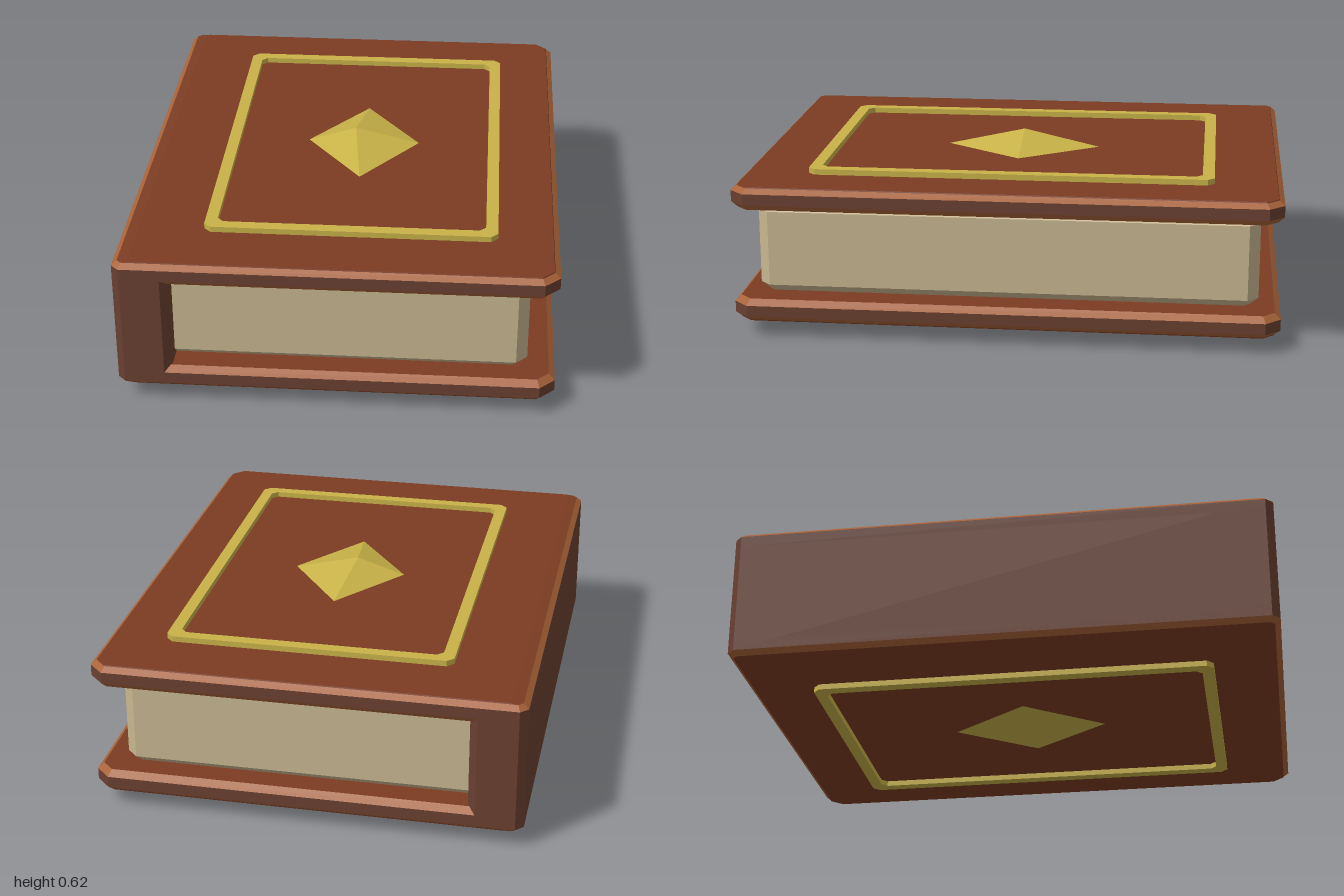
import * as THREE from 'three';

const material = (name, color) => {
  const m = new THREE.MeshStandardMaterial({ color });
  m.name = name;
  return m;
};

const MID = 0.3125; // half height, the plane the book is mirrored about
const flipY = (y) => 2 * MID - y;

// Chamfered rectangle, counter-clockwise from above; inset i, extra inset l on the spine side
function outline({ x0, x1, z, cL, cR }, y, i, l = 0) {
  const a = x0 + i + l, b = x1 - i, d = z - i;
  const p = Math.max(cL - 0.586 * i, 0.002), q = Math.max(cR - 0.586 * i, 0.002);
  return [
    [b, d - q], [b, q - d], [b - q, -d], [a + p, -d],
    [a, p - d], [a, d - p], [a + p, d], [b - q, d],
  ].map(([x, zz]) => [x, y, zz]);
}

// Stack of outlines [y, inset, spineInset] from bottom to top; one material index per band, then bottom and top caps
function slab(plan, levels, bandMats, capMats) {
  const rings = levels.map((v) => outline(plan, ...v));
  const pos = [];
  const geo = new THREE.BufferGeometry();
  const group = (mat, build) => {
    const start = pos.length / 3;
    build();
    geo.addGroup(start, pos.length / 3 - start, mat);
  };
  const tri = (...pts) => pts.forEach((p) => pos.push(...p));
  for (let r = 0; r + 1 < rings.length; r++) {
    const a = rings[r], b = rings[r + 1];
    group(bandMats[r], () => a.forEach((p, i) => {
      const j = (i + 1) % a.length;
      tri(p, a[j], b[j]);
      tri(p, b[j], b[i]);
    }));
  }
  const low = rings[0], top = rings[rings.length - 1];
  group(capMats[0], () => { for (let i = 1; i < 7; i++) tri(low[0], low[i + 1], low[i]); });
  group(capMats[1], () => { for (let i = 1; i < 7; i++) tri(top[0], top[i], top[i + 1]); });
  geo.setAttribute('position', new THREE.Float32BufferAttribute(pos, 3));
  geo.computeVertexNormals();
  return geo;
}

// Shallow four-sided pyramid standing on the cover
function gemGeometry() {
  const base = [[0.26, 0.565, 0], [0.04, 0.565, -0.305], [-0.185, 0.565, 0], [0.04, 0.565, 0.305]];
  const pos = [];
  base.forEach((p, i) => pos.push(...p, ...base[(i + 1) % 4], 0.005, 0.625, 0));
  const geo = new THREE.BufferGeometry();
  geo.setAttribute('position', new THREE.Float32BufferAttribute(pos, 3));
  geo.computeVertexNormals();
  return geo;
}

// Flat rectangular border with clipped corners
function frameGeometry() {
  const pts = (w, h, c) => [
    [w, h - c], [w - c, h], [c - w, h], [-w, h - c],
    [-w, c - h], [c - w, -h], [w - c, -h], [w, c - h],
  ].map(([x, y]) => new THREE.Vector2(x, y));
  const shape = new THREE.Shape(pts(0.528, 0.75, 0.025));
  shape.holes.push(new THREE.Path(pts(0.484, 0.706, 0.022)));
  const geo = new THREE.ExtrudeGeometry(shape, { depth: 0.026, bevelEnabled: false });
  return geo.rotateX(-Math.PI / 2).translate(0.038, 0.562, 0);
}

export function createModel() {
  const leather = material('leather', 0x7c3c22);
  const trim = material('worn edge', 0xa86238);
  const hide = material('dark leather', 0x6a4031);
  const paper = material('paper', 0xc8b690);
  const gold = material('gold', 0xc8b248);

  const book = new THREE.Group();
  book.name = 'book';
  const add = (name, geo, mat) => {
    const mesh = new THREE.Mesh(geo, mat);
    mesh.name = name;
    book.add(mesh);
    return mesh;
  };

  // Covers: dark sides, worn chamfers, leather faces
  const coverPlan = { x0: -0.785, x1: 0.785, z: 1, cL: 0.028, cR: 0.055 };
  const levels = [[0.482, 0.022], [0.504, 0], [0.546, 0], [0.563, 0.02], [0.567, 0.022, 0.035]];
  const skins = [leather, trim, hide];
  add('topCover', slab(coverPlan, levels, [1, 2, 1, 0], [0, 0]), skins);
  const flipped = levels.map(([y, ...rest]) => [flipY(y), ...rest]).reverse();
  add('bottomCover', slab(coverPlan, flipped, [0, 1, 2, 1], [0, 0]), skins);

  // Spine joining the covers
  const spinePlan = { x0: -0.785, x1: -0.585, z: 1, cL: 0.028, cR: 0.028 };
  add('spine', slab(spinePlan, [[flipY(0.546), 0], [0.546, 0]], [0], [0, 0]), [hide]);

  // Page block, chamfered along its edges
  const pagePlan = { x0: -0.66, x1: 0.685, z: 0.92, cL: 0.04, cR: 0.04 };
  const pageLevels = [[flipY(0.483), 0.032], [flipY(0.453), 0], [0.453, 0], [0.483, 0.032]];
  add('pages', slab(pagePlan, pageLevels, [0, 0, 0], [0, 0]), [paper]);

  // Gold border and gem on both covers
  for (const [side, turned] of [['top', false], ['bottom', true]]) {
    for (const [part, make] of [['Frame', frameGeometry], ['Gem', gemGeometry]]) {
      const mesh = add(side + part, make(), gold);
      if (turned) {
        mesh.scale.y = -1;
        mesh.position.y = 2 * MID;
      }
    }
  }
  return book;
}
